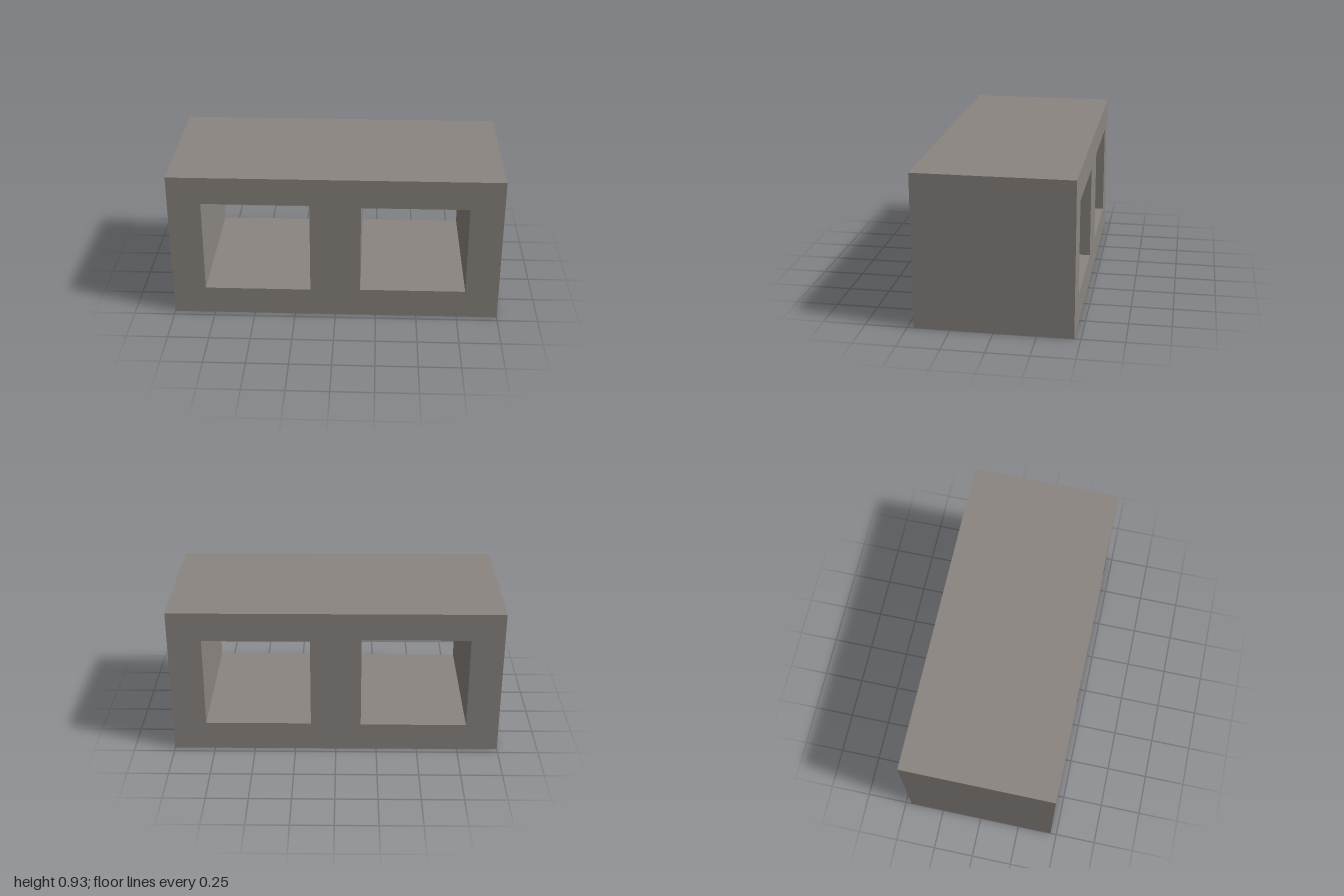
import * as THREE from 'three';

const HEIGHT = 0.926, DEPTH = 0.926;

// Traces a rectangle on a shape or hole path
function rect(path, x0, y0, x1, y1) {
  path.moveTo(x0, y0);
  path.lineTo(x1, y0);
  path.lineTo(x1, y1);
  path.lineTo(x0, y1);
  path.closePath();
  return path;
}

export function createModel() {
  const group = new THREE.Group();
  group.name = 'cinderBlock';

  const concrete = new THREE.MeshStandardMaterial({ color: 0x8a8580 });
  concrete.name = 'concrete grey';

  // Block outline with two slightly uneven hollow cores
  const outline = rect(new THREE.Shape(), -1, 0, 1, HEIGHT);
  outline.holes.push(
    rect(new THREE.Path(), -0.8, 0.175, -0.153, 0.756),
    rect(new THREE.Path(), 0.153, 0.181, 0.797, 0.746)
  );

  // Cores run straight through from front to back
  const geometry = new THREE.ExtrudeGeometry(outline, { depth: DEPTH, bevelEnabled: false });
  geometry.translate(0, 0, -DEPTH / 2);

  const block = new THREE.Mesh(geometry, concrete);
  block.name = 'hollowBlock';
  group.add(block);
  return group;
}
